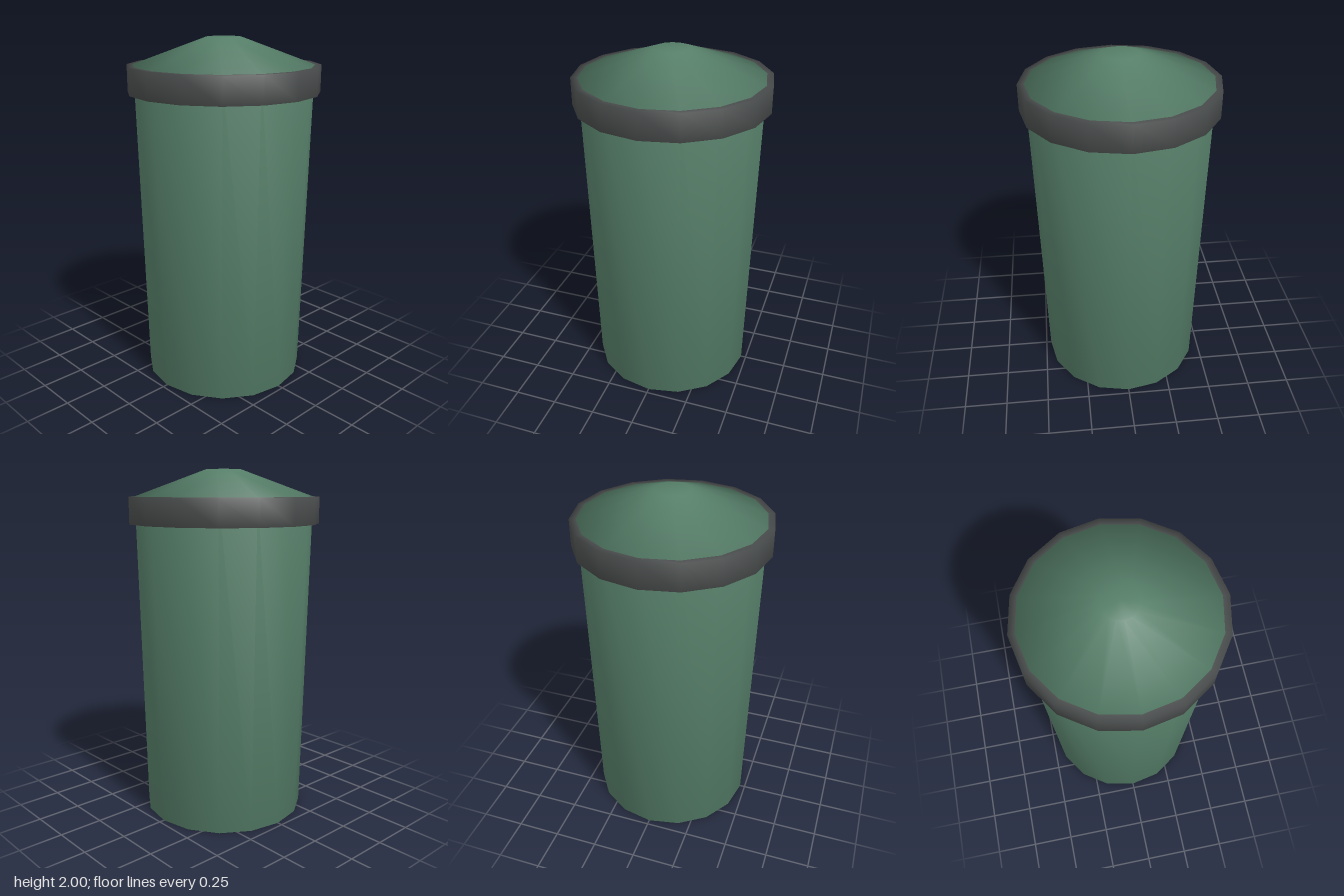
import * as THREE from 'three';

const SIDES = 16;

// Revolves a [radius, height] profile into a smooth-shaded 16-sided form
function turned(name, profile, material) {
  const points = profile.map(([r, y]) => new THREE.Vector2(r, y));
  const mesh = new THREE.Mesh(new THREE.LatheGeometry(points, SIDES), material);
  mesh.name = name;
  return mesh;
}

export function createModel() {
  const green = new THREE.MeshStandardMaterial({ color: 0x567f69 });
  green.name = 'green';
  const darkGrey = new THREE.MeshStandardMaterial({ color: 0x4a4d4d });
  darkGrey.name = 'dark grey';

  const model = new THREE.Group();
  model.name = 'bin';

  // Tapered body running into the shallow conical lid, shaded as one surface
  model.add(turned('bodyAndLid', [
    [0, 0], [0.47, 0], [0.51, 1.85], [0.1, 2], [0, 2],
  ], green));

  // Collar around the top of the body
  model.add(turned('rimBand', [
    [0.5, 1.7], [0.546, 1.7], [0.546, 1.85], [0.5, 1.85],
  ], darkGrey));

  return model;
}
